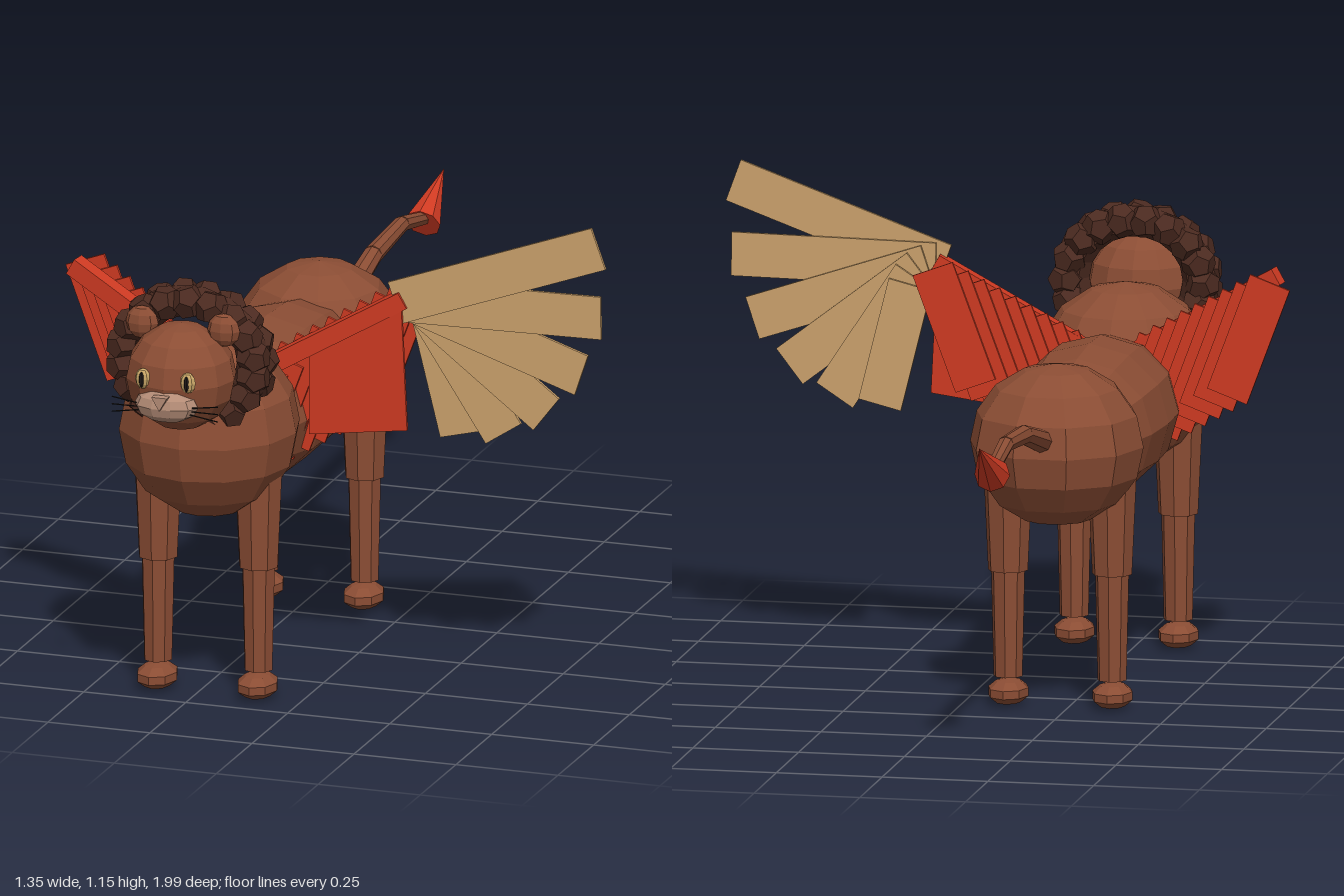
import * as THREE from 'three';

const mat = (name, color, extra = {}) =>
  Object.assign(new THREE.MeshStandardMaterial({ color, flatShading: true, ...extra }), { name });

export function createModel() {
  const fur = mat('brown fur', 0x8b4d34);
  const maneFur = mat('dark mane', 0x4b2a20);
  const red = mat('red feather', 0xcf3a22);
  const tan = mat('tan feather', 0xcca26c);
  const muzzleMat = mat('pale muzzle', 0xb48c76);
  const eyeMat = mat('amber eye', 0xc9a768);
  const black = mat('black', 0x1d1816);

  const model = new THREE.Group();
  model.name = 'wingedLion';
  const CX = -0.229; // body centre line
  const V = (x, y, z) => new THREE.Vector3(x, y, z);

  const add = (name, geo, material, x = 0, y = 0, z = 0, parent = model) => {
    const m = new THREE.Mesh(geo, material);
    m.name = name;
    m.position.set(x, y, z);
    parent.add(m);
    return m;
  };
  const ball = (name, material, x, y, z, rx, ry, rz, ws = 10, hs = 8) => {
    const m = add(name, new THREE.SphereGeometry(1, ws, hs), material, x, y, z);
    m.scale.set(rx, ry, rz);
    return m;
  };
  // tapered rod from a to b
  const rod = (name, material, a, b, r0, r1, sides = 8) => {
    const d = b.clone().sub(a);
    const c = a.clone().add(b).multiplyScalar(0.5);
    const m = add(name, new THREE.CylinderGeometry(r1, r0, d.length(), sides), material, c.x, c.y, c.z);
    m.quaternion.setFromUnitVectors(V(0, 1, 0), d.normalize());
    return m;
  };

  // Body
  ball('chest', fur, CX, 0.648, 0.645, 0.213, 0.215, 0.213, 12, 8);
  ball('haunch', fur, CX, 0.628, -0.125, 0.205, 0.19, 0.205, 10, 8);
  const profile = [[0, -0.33], [0.09, -0.31], [0.155, -0.24], [0.178, -0.14], [0.188, 0],
    [0.184, 0.13], [0.16, 0.24], [0.09, 0.31], [0, 0.33]].map(([r, y]) => new THREE.Vector2(r, y));
  const torso = add('torso', new THREE.LatheGeometry(profile, 12), fur, CX, 0.614, 0.24);
  torso.rotation.x = Math.PI / 2;
  torso.scale.z = 0.96;

  // Legs
  for (const s of [-1, 1]) {
    for (const [n, z] of [['front', 0.652], ['hind', -0.09]]) {
      const x = CX + s * 0.123;
      rod(n + 'UpperLeg', fur, V(x, 0.32, z), V(x, 0.6, z), 0.047, 0.06);
      rod(n + 'LowerLeg', fur, V(x, 0.07, z), V(x, 0.33, z), 0.034, 0.04);
      ball(n + 'Paw', fur, x, 0.033, z + 0.005, 0.05, 0.031, 0.065, 8, 5);
    }
  }

  // Tail
  const tail = [V(CX, 0.665, -0.29), V(CX, 0.722, -0.5), V(CX, 0.738, -0.7), V(CX, 0.705, -0.86)];
  const radii = [0.028, 0.023, 0.019, 0.016];
  for (let i = 0; i < 3; i++) rod('tailSegment', fur, tail[i], tail[i + 1], radii[i], radii[i + 1]);
  rod('tailTip', red, V(CX, 0.695, -0.85), V(CX, 0.785, -0.997), 0.042, 0, 8);

  // Head
  ball('head', fur, CX, 0.825, 0.842, 0.13, 0.127, 0.127, 12, 8);
  ball('muzzle', muzzleMat, CX, 0.782, 0.945, 0.078, 0.04, 0.044, 10, 6);
  const nose = add('nose', new THREE.CylinderGeometry(0.022, 0.022, 0.022, 3), muzzleMat, CX, 0.803, 0.986);
  nose.rotation.x = Math.PI / 2;
  for (const s of [-1, 1]) {
    ball('ear', fur, CX + s * 0.1, 0.94, 0.83, 0.04, 0.04, 0.025, 8, 6);
    ball('eye', eyeMat, CX + s * 0.055, 0.843, 0.952, 0.019, 0.025, 0.014, 8, 6);
    ball('pupil', black, CX + s * 0.055, 0.843, 0.963, 0.006, 0.019, 0.006, 6, 6);
    for (const k of [-1, 0, 1])
      rod('whisker', black, V(CX + s * 0.05, 0.777 + k * 0.006, 0.96),
        V(CX + s * 0.13, 0.775 + k * 0.018, 0.955), 0.0015, 0.0015, 4);
  }

  // Mane: a ring core studded with two rows of tufts
  const core = add('maneCore', new THREE.TorusGeometry(0.15, 0.04, 6, 18), maneFur, CX, 0.845, 0.765);
  core.scale.y = 0.92;
  for (let row = 0; row < 2; row++) {
    for (let i = 0; i < 18; i++) {
      const a = (i + row * 0.5) / 18 * Math.PI * 2;
      const tuft = add('maneTuft', new THREE.DodecahedronGeometry(0.042), maneFur,
        CX + Math.cos(a) * 0.162, 0.845 + Math.sin(a) * 0.143, 0.74 + row * 0.052);
      tuft.rotation.set(i * 0.9, row, a);
    }
  }

  // Wings: an arm bone with overlapping red feathers on both sides
  for (const s of [-1, 1]) {
    const a = V(CX + s * 0.06, 0.735, 0.477), b = V(CX + s * 0.405, 0.932, 0.437);
    const bone = add('wingBone', new THREE.BoxGeometry(a.distanceTo(b), 0.042, 0.04), red);
    bone.position.copy(a).add(b).multiplyScalar(0.5);
    bone.rotation.set(0, s * 0.11, s * Math.atan2(b.y - a.y, 0.345));
    for (let i = 0; i < 10; i++) {
      const f = add('redFeather', new THREE.BoxGeometry(0.1, 0.29, 0.008), red,
        CX + s * (0.348 - i * 0.035), 0.792 - i * 0.0205, 0.375 + i * 0.0105);
      f.rotation.z = -s * 0.357;
    }
  }

  // Left wing membrane
  const quad = new THREE.Shape([[-0.05, 0.587], [0.19, 0.62], [0.175, 0.935], [-0.05, 0.81]]
    .map(([x, y]) => new THREE.Vector2(x, y)));
  add('wingPanel', new THREE.ExtrudeGeometry(quad, { depth: 0.008, bevelEnabled: false }), red, 0, 0, 0.45);

  // Left wing fan of flight feathers, hinged at one corner
  for (let i = 0; i < 6; i++) {
    const len = 0.53 - i * 0.047;
    const geo = new THREE.BoxGeometry(len, 0.103, 0.008).translate(len / 2, 0.0515, 0);
    const f = add('flightFeather', geo, tan, 0.175, 0.875, 0.445 - i * 0.0125);
    f.rotation.z = THREE.MathUtils.degToRad(20 - i * 19.2);
  }

  return model;
}
